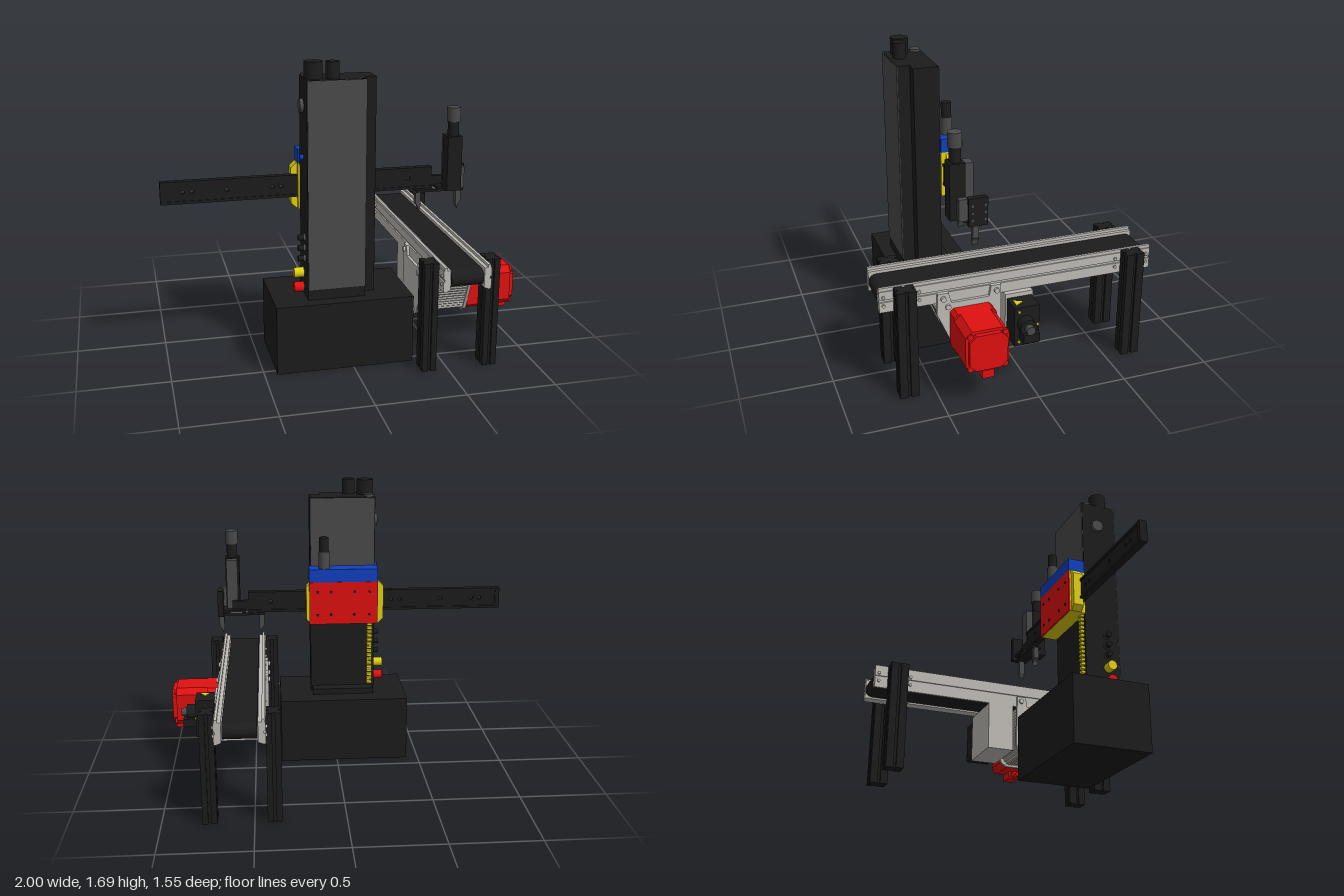
import * as THREE from 'three';

const BLACK = 0x1c1c1c, DARK = 0x4a4a4a, RED = 0xe01010, YELLOW = 0xe0d010, BLUE = 0x1040c0, METAL = 0xbfbcb7;
const CX = 0.565; // conveyor centre line

const materials = {};
const mat = (color) => (materials[color] ??= new THREE.MeshStandardMaterial({ color }));

function add(parent, name, geometry, color) {
  const mesh = new THREE.Mesh(geometry, mat(color));
  mesh.name = name;
  parent.add(mesh);
  return mesh;
}

// Box given by its limits on each axis
function box(parent, name, color, [x0, x1], [y0, y1], [z0, z1]) {
  const g = new THREE.BoxGeometry(x1 - x0, y1 - y0, z1 - z0);
  g.translate((x0 + x1) / 2, (y0 + y1) / 2, (z0 + z1) / 2);
  return add(parent, name, g, color);
}

// Cylinder centred at a point, lying along the given axis
function cyl(parent, name, color, axis, r, length, x, y, z, sides = 24) {
  const g = new THREE.CylinderGeometry(r, r, length, sides);
  if (axis === 'x') g.rotateZ(Math.PI / 2);
  if (axis === 'z') g.rotateX(Math.PI / 2);
  g.translate(x, y, z);
  return add(parent, name, g, color);
}

const shapeOf = (pts) => new THREE.Shape(pts.map(([a, b]) => new THREE.Vector2(a, b)));
const prism = (shape, depth) => new THREE.ExtrudeGeometry(shape, { depth, bevelEnabled: false, curveSegments: 10 });

// Extrude a (z, y) outline along x
function prismX(parent, name, color, pts, x0, x1) {
  const g = prism(shapeOf(pts.map(([z, y]) => [-z, y])), x1 - x0);
  g.rotateY(Math.PI / 2).translate(x0, 0, 0);
  return add(parent, name, g, color);
}

// Rectangle with cut corners
function cutRect(a0, a1, b0, b1, c) {
  return [[a0 + c, b0], [a1 - c, b0], [a1, b0 + c], [a1, b1 - c], [a1 - c, b1], [a0 + c, b1], [a0, b1 - c], [a0, b0 + c]];
}

function buildTower() {
  const t = new THREE.Group();
  t.name = 'tower';
  box(t, 'base', BLACK, [-0.43, 0.34], [0, 0.39], [0.09, 0.55]);
  box(t, 'columnFlange', BLACK, [-0.23, 0.14], [0.39, 0.425], [0.2, 0.3]);
  box(t, 'column', BLACK, [-0.24, 0.15], [0.39, 1.6], [0.268, 0.41]);
  box(t, 'columnFront', BLACK, [-0.24, 0.08], [0.39, 1.6], [0.41, 0.478]);
  box(t, 'frontPanel', DARK, [-0.238, 0.08], [0.45, 1.598], [0.478, 0.483]);
  box(t, 'backPanel', DARK, [-0.235, 0.145], [1.05, 1.595], [0.264, 0.268]);
  cyl(t, 'largeTopPort', BLACK, 'y', 0.05, 0.09, -0.19, 1.645, 0.395);
  cyl(t, 'smallTopPort', BLACK, 'y', 0.037, 0.09, -0.092, 1.645, 0.42);
  cyl(t, 'topCap', DARK, 'y', 0.032, 0.015, -0.205, 1.607, 0.302);

  // Side controls
  cyl(t, 'sideKnob', DARK, 'x', 0.036, 0.02, -0.25, 1.45, 0.36);
  cyl(t, 'blueLamp', BLUE, 'x', 0.015, 0.02, -0.25, 1.17, 0.36);
  for (const y of [0.61, 0.67, 0.73]) {
    cyl(t, 'socket', BLACK, 'x', 0.016, 0.04, -0.26, y, 0.4);
    cyl(t, 'socketCollar', DARK, 'x', 0.02, 0.01, -0.245, y, 0.4);
  }
  for (const [y, color] of [[0.53, YELLOW], [0.445, RED]]) {
    cyl(t, 'buttonStem', BLACK, 'x', 0.018, 0.03, -0.25, y, 0.4);
    cyl(t, 'pushButton', color, 'x', 0.028, 0.055, -0.278, y, 0.4);
  }

  // Yellow cable chain on the back of the column
  for (let y = 0.44; y < 0.85; y += 0.025) box(t, 'chainLink', YELLOW, [-0.225, -0.195], [y, y + 0.015], [0.245, 0.268]);
  return t;
}

function buildCarriage() {
  const c = new THREE.Group();
  c.name = 'carriage';
  // Yellow end covers stick out of the sides, with bevelled corners
  const ends = prism(shapeOf(cutRect(-0.285, 0.178, 0.85, 1.11, 0.03)), 0.06);
  add(c, 'endCovers', ends.translate(0, 0, 0.178), YELLOW);
  box(c, 'carriageCore', YELLOW, [-0.25, 0.16], [0.85, 1.11], [0.171, 0.266]);
  box(c, 'backPlate', RED, [-0.25, 0.16], [0.852, 1.11], [0.163, 0.171]);
  box(c, 'topBlock', BLUE, [-0.25, 0.16], [1.11, 1.188], [0.165, 0.266]);
  for (const x of [-0.2, -0.11, 0.03, 0.11])
    for (const y of [0.91, 1.05]) cyl(c, 'plateBolt', BLACK, 'z', 0.008, 0.006, x, y, 0.162, 10);
  cyl(c, 'sensorBody', DARK, 'y', 0.033, 0.1, 0.07, 1.238, 0.207);
  cyl(c, 'sensorTop', BLACK, 'y', 0.028, 0.085, 0.07, 1.33, 0.207);
  return c;
}

function buildArm() {
  const a = new THREE.Group();
  a.name = 'arm';
  const bar = shapeOf([[-1, 0.92], [0.62, 0.92], [0.62, 0.99], [0.525, 0.99], [0.525, 1.045], [-1, 1.045]]);
  for (const x of [-0.88, -0.83, -0.64, -0.39, -0.34, 0.39])
    bar.holes.push(new THREE.Path().absarc(x, 0.983, 0.011, 0, Math.PI * 2, true));
  add(a, 'armBar', prism(bar, 0.028).translate(0, 0, 0.225), BLACK);
  for (const [y0, y1] of [[0.92, 0.935], [1.03, 1.045]]) box(a, 'armEdge', BLACK, [-1, 0.525], [y0, y1], [0.218, 0.258]);
  box(a, 'armEndCap', BLACK, [-1, -0.975], [0.92, 1.045], [0.216, 0.26]);

  // Vertical actuator
  box(a, 'actuatorBody', BLACK, [0.575, 0.658], [0.93, 1.24], [0.29, 0.375]);
  box(a, 'actuatorPlate', DARK, [0.585, 0.65], [0.92, 1.235], [0.245, 0.29]);
  cyl(a, 'actuatorNeck', BLACK, 'y', 0.031, 0.085, 0.617, 1.28, 0.333);
  cyl(a, 'actuatorCap', DARK, 'y', 0.038, 0.08, 0.617, 1.36, 0.333);
  box(a, 'sideBracket', BLACK, [0.672, 0.705], [0.905, 1.06], [0.185, 0.29]);
  box(a, 'bracketBlock', DARK, [0.658, 0.69], [0.935, 1.055], [0.29, 0.337]);
  for (const y of [0.94, 0.98, 1.02])
    for (const z of [0.2, 0.27]) cyl(a, 'bracketBolt', DARK, 'x', 0.008, 0.006, 0.706, y, z, 10);

  // Gripper with two fingers
  box(a, 'gripperMount', BLACK, [0.54, 0.69], [0.925, 0.94], [0.2, 0.31]);
  box(a, 'gripperRail', BLACK, [0.43, 0.705], [0.903, 0.918], [0.215, 0.28]);
  box(a, 'gripperSpacer', METAL, [0.53, 0.68], [0.918, 0.925], [0.22, 0.27]);
  for (const s of [-1, 1]) {
    const f = [[0.135, 0.905], [0.105, 0.905], [0.105, 0.82], [0.115, 0.79], [0.12, 0.815], [0.135, 0.835]];
    add(a, 'finger', prism(shapeOf(f.map(([x, y]) => [CX + s * x, y])), 0.034).translate(0, 0, 0.232), DARK);
  }
  return a;
}

function buildConveyor() {
  const c = new THREE.Group();
  c.name = 'conveyor';
  // Belt loop around two end rollers
  const r = 0.045, yMid = 0.553, belt = [];
  for (let i = 0; i <= 32; i++) {
    const t = -Math.PI / 2 + (Math.PI * 2 * i) / 32;
    belt.push([(i <= 16 ? 0.73 : -0.73) + r * Math.cos(t), yMid + r * Math.sin(t)]);
    if (i === 16) belt.push([-0.73, yMid + r]);
  }
  prismX(c, 'belt', BLACK, belt, 0.474, 0.656);

  for (const s of [-1, 1]) {
    // Side rail with a slot along its outer face
    const rail = [[0.095, 0.5], [0.12, 0.49], [0.135, 0.49], [0.135, 0.548], [0.127, 0.548], [0.127, 0.562],
      [0.135, 0.562], [0.135, 0.61], [0.13, 0.61], [0.13, 0.628], [0.115, 0.628], [0.115, 0.612], [0.095, 0.612]];
    const g = prism(shapeOf(rail.map(([x, y]) => [CX + s * x, y])), 1.545).translate(0, 0, -0.7725);
    add(c, 'sideRail', g, METAL);
    for (const e of [-1, 1]) {
      for (const z of [0.56, 0.75]) for (const y of [0.53, 0.578])
        cyl(c, 'railBolt', METAL, 'x', 0.009, 0.012, CX + s * 0.138, y, e * z, 12);
      // Slotted profile leg
      const [w, d, n, k] = [0.04, 0.052, 0.008, 0.012];
      const q = [[w, -d], [w, -n], [w - k, -n], [w - k, n], [w, n], [w, d], [n, d], [n, d - k], [-n, d - k], [-n, d]];
      const leg = [...q, [-w, d], [-w, n], [k - w, n], [k - w, -n], [-w, -n], [-w, -d], [-n, -d], [-n, k - d], [n, k - d], [n, -d]];
      const lg = prism(shapeOf(leg), 0.628).rotateX(-Math.PI / 2);
      add(c, 'leg', lg.translate(CX + s * 0.175, 0, e * 0.645), BLACK);
    }
  }
  return c;
}

function buildDrive() {
  const d = new THREE.Group();
  d.name = 'drive';
  // Side plates with two mounting tabs
  const plate = [[0.465, 0.55], [0.405, 0.55], [0.39, 0.49], [0.18, 0.49], [0.17, 0.55], [0.115, 0.55], [0.11, 0.25],
    [0.125, 0.21], [0.16, 0.19], [0.34, 0.19], [0.375, 0.21], [0.47, 0.43]];
  for (const [x0, x1, xb] of [[0.414, 0.432, 0.411], [0.698, 0.716, 0.719]]) {
    prismX(d, 'sidePlate', METAL, plate, x0, x1);
    for (const [z, y] of [[0.435, 0.52], [0.14, 0.52], [0.41, 0.47], [0.14, 0.26], [0.33, 0.215]])
      cyl(d, 'plateBolt', METAL, 'x', 0.015, 0.02, xb, y, z, 14);
  }
  // Ribbed cover: alternate outline points are pulled inwards
  const outline = shapeOf([[0.455, 0.495], [0.12, 0.495], [0.12, 0.25], [0.16, 0.2], [0.34, 0.2], [0.375, 0.22], [0.455, 0.42], [0.455, 0.495]]);
  const ribs = outline.getSpacedPoints(120).slice(0, -1).map((p, i) => {
    const k = i % 2 ? 0.965 : 1;
    return [0.29 + (p.x - 0.29) * k, 0.35 + (p.y - 0.35) * k];
  });
  prismX(d, 'ribbedCover', METAL, ribs, 0.432, 0.698);

  // Motor
  prismX(d, 'motorFlange', RED, cutRect(0.165, 0.4, 0.22, 0.455, 0.02), 0.716, 0.79);
  prismX(d, 'motorBody', RED, cutRect(0.165, 0.4, 0.22, 0.455, 0.035), 0.79, 0.975);
  prismX(d, 'motorEnd', RED, cutRect(0.18, 0.385, 0.235, 0.44, 0.035), 0.975, 1);
  for (const z of [0.188, 0.377])
    for (const y of [0.243, 0.432]) cyl(d, 'motorScrew', RED, 'x', 0.016, 0.012, 0.982, y, z, 12);
  box(d, 'connectorBlock', RED, [0.9, 0.99], [0.178, 0.225], [0.25, 0.315]);
  cyl(d, 'cableGland', RED, 'x', 0.022, 0.04, 0.885, 0.195, 0.283);
  cyl(d, 'cableEnd', RED, 'x', 0.013, 0.06, 0.85, 0.187, 0.283);

  // Control box beside the drive
  box(d, 'controlBracket', METAL, [0.43, 0.73], [0.21, 0.49], [-0.063, 0.094]);
  box(d, 'controlBox', BLACK, [0.73, 0.845], [0.235, 0.465], [-0.055, 0.085]);
  cyl(d, 'switchCollar', BLACK, 'x', 0.046, 0.06, 0.87, 0.367, 0.025);
  cyl(d, 'switchKnob', DARK, 'x', 0.024, 0.035, 0.915, 0.367, 0.025);
  box(d, 'switchHandle', BLACK, [0.845, 0.92], [0.29, 0.34], [-0.03, 0.06]);
  for (const [z, y] of [[0.06, 0.26], [-0.045, 0.35], [0.06, 0.44]]) cyl(d, 'boxLamp', YELLOW, 'x', 0.008, 0.008, 0.847, y, z, 10);
  const warn = prism(shapeOf([[0.765, -0.065], [0.82, -0.065], [0.79, -0.02]]), 0.003).rotateX(-Math.PI / 2);
  add(d, 'warningTriangle', warn.translate(0, 0.465, 0), YELLOW);
  return d;
}

export function createModel() {
  const model = new THREE.Group();
  model.name = 'pickAndPlaceStation';
  model.add(buildTower(), buildCarriage(), buildArm(), buildConveyor(), buildDrive());
  return model;
}
